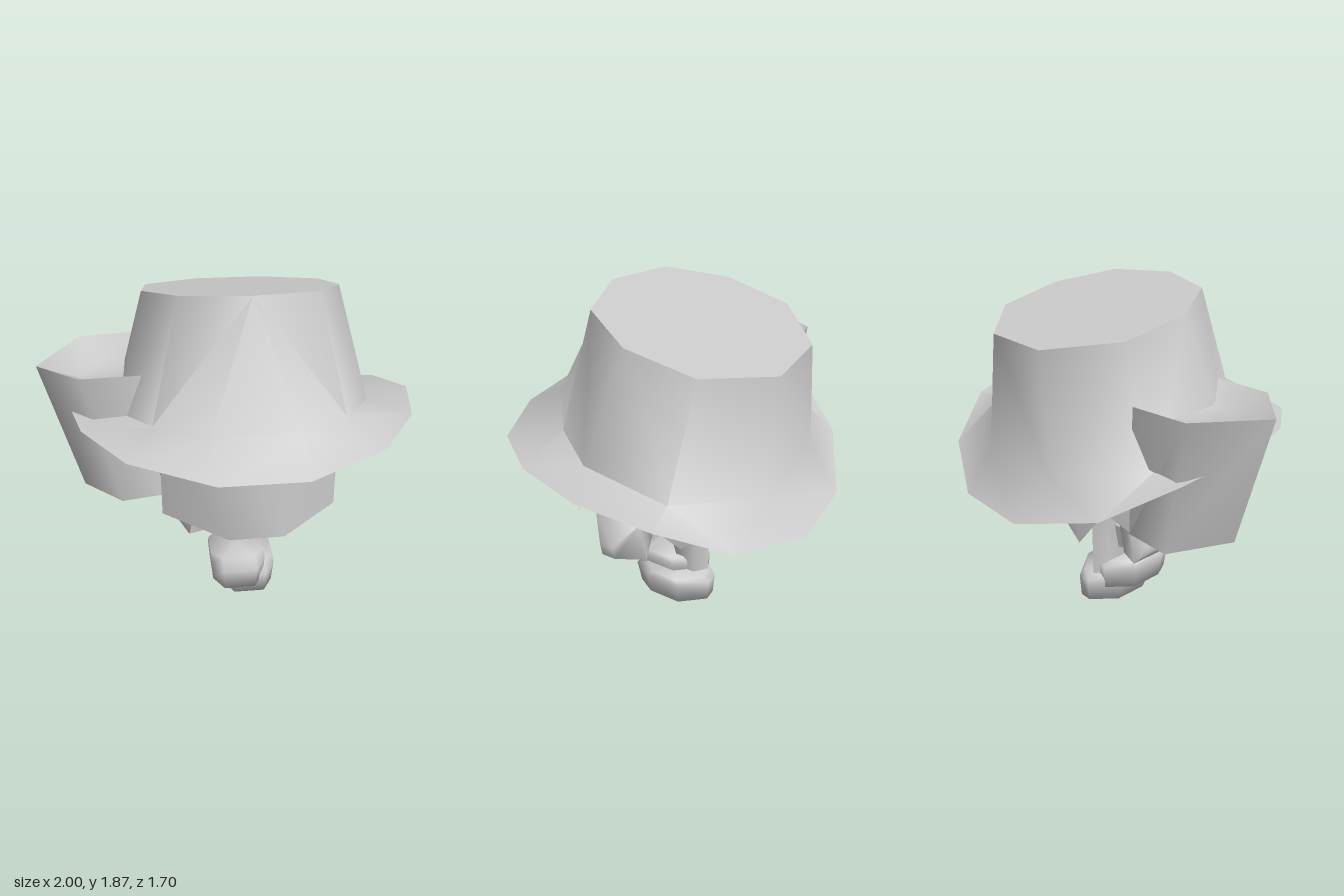
import * as THREE from 'three';
import { toCreasedNormals } from 'three/addons/utils/BufferGeometryUtils.js';

const CX = 0.07; // mirror plane of head and hat
const material = new THREE.MeshStandardMaterial({ color: 0xcccccc, side: THREE.DoubleSide });

// Skin over a list of rings (lowest first, points running front -> +x -> back -> -x)
function loft(name, rings, { bottom = false, top = false, closed = true, crease = 1.1 } = {}) {
  const n = rings[0].length, pos = [];
  const tri = (...pts) => pts.forEach((p) => pos.push(...p));
  for (let r = 0; r < rings.length - 1; r++) {
    for (let i = 0; i < (closed ? n : n - 1); i++) {
      const j = (i + 1) % n, lo = rings[r], hi = rings[r + 1];
      // diagonals lean opposite ways on the two halves, keeping them symmetric
      if (i < n / 2) {
        tri(lo[i], lo[j], hi[i]);
        tri(lo[j], hi[j], hi[i]);
      } else {
        tri(lo[i], lo[j], hi[j]);
        tri(lo[i], hi[j], hi[i]);
      }
    }
  }
  const cap = (ring, up) => {
    const c = [0, 1, 2].map((k) => ring.reduce((s, p) => s + p[k], 0) / n);
    ring.forEach((p, i) => {
      const q = ring[(i + 1) % n];
      if (up) tri(c, p, q); else tri(c, q, p);
    });
  };
  if (bottom) cap(rings[0], false);
  if (top) cap(rings[rings.length - 1], true);
  const geo = new THREE.BufferGeometry();
  geo.setAttribute('position', new THREE.Float32BufferAttribute(pos, 3));
  const mesh = new THREE.Mesh(toCreasedNormals(geo, crease), material);
  mesh.name = name;
  return mesh;
}

// Elliptical ring with n corners, the first one turned by 'turn'
function ring(n, cx, y, cz, rx, rz, turn = 0) {
  return Array.from({ length: n }, (_, i) => {
    const a = turn + (i / n) * Math.PI * 2;
    return [cx + rx * Math.sin(a), y, cz + rz * Math.cos(a)];
  });
}

// Half outline on the +x side, mirrored into a full ring about CX
function mirrorRing(half) {
  return [...half, ...[...half].reverse().map(([x, y, z]) => [2 * CX - x, y, z])];
}

// Bucket-shaped hat: drooping brim, tapered crown, slanted top
function buildHat() {
  const brim = [[0.285, 1.14, 0.85], [0.69, 1.18, 0.66], [0.91, 1.21, 0.365], [1, 1.2, 0],
    [0.92, 1.12, -0.36], [0.695, 0.955, -0.66], [0.285, 0.845, -0.85]];
  const base = [[0.29, 1.27, 0.615], [0.56, 1.23, 0.395], [0.735, 1.2, 0.14], [0.735, 1.2, 0.14],
    [0.74, 1.14, -0.33], [0.335, 1.05, -0.66], [0.335, 1.05, -0.66]];
  const topXZ = [[CX, 0.385], [0.41, 0.28], [0.58, -0.015], [0.58, -0.015],
    [0.555, -0.375], [0.26, -0.64], [0.26, -0.64]];
  const top = topXZ.map(([x, z]) => [x, 1.795 + 0.197 * z, z]);
  return loft('hat', [brim, base, top].map(mirrorRing), { top: true, crease: 1.15 });
}

function buildHead() {
  const head = new THREE.Group();
  head.name = 'headGroup';
  // skull: y, half width, half depth, centre z
  const levels = [[0.51, 0.08, 0.1, 0.1], [0.57, 0.23, 0.28, 0.14], [0.7, 0.4, 0.42, 0.08],
    [0.85, 0.5, 0.5, 0.03], [1.05, 0.53, 0.53, 0], [1.22, 0.5, 0.5, 0]];
  head.add(loft('head', levels.map(([y, rx, rz, z]) => ring(12, CX, y, z, rx, rz, Math.PI / 12)),
    { bottom: true, top: true }));

  // bent face plate
  const plate = (y) => [[-0.39, 0.365], [-0.07, 0.645], [0.21, 0.645], [0.53, 0.365]].map(([x, z]) => [x, y, z]);
  head.add(loft('facePlate', [plate(0.7), plate(1.18)], { closed: false, crease: 0.75 }));

  // hair shell with a jagged hem: angle from the front in degrees, hem height, hem radius
  const hem = [[50, 0.84, 0.57], [72, 0.97, 0.57], [92, 0.71, 0.56], [106, 0.83, 0.55],
    [121, 0.61, 0.43], [138, 0.8, 0.54], [155, 0.58, 0.5], [170, 0.79, 0.52]];
  const hairRow = (f) => {
    const half = hem.map(([deg, y, r]) => {
      const a = THREE.MathUtils.degToRad(deg), [ry, rr] = f(y, r);
      return [CX + rr * Math.sin(a), ry, rr * Math.cos(a)];
    });
    return mirrorRing(half).slice(0, -1); // the -x temple is covered by the container
  };
  head.add(loft('hair', [hairRow((y, r) => [y, r]), hairRow(() => [1.0, 0.57]), hairRow(() => [1.14, 0.57])],
    { closed: false }));

  // short fringe points under the brim
  [[-0.27, 1.05, 0.09, 0.58], [-0.08, 1.07, 0.06, 0.67], [0.34, 1.03, 0.09, 0.58]].forEach(([x, y, w, z]) => {
    head.add(loft('fringe', [
      [[x, y, z], [x, y, z]],
      [[x - w, 1.18, z], [x + w * 0.3, 1.18, z]],
    ], { closed: false }));
  });
  return head;
}

// Tall tapered container at the -x side, with a shallow hollow top
function buildContainer() {
  const top = [[-0.77, 1.43, 0.235], [-0.46, 1.43, 0.22], [-0.32, 1.43, -0.08],
    [-0.5, 1.44, -0.4], [-0.8, 1.44, -0.36], [-1, 1.42, 0.01]];
  const bottom = [[-0.6, 0.7, 0.22], [-0.38, 0.7, 0.18], [-0.27, 0.7, -0.07],
    [-0.4, 0.7, -0.33], [-0.66, 0.7, -0.33], [-0.81, 0.7, 0.01]];
  const hollow = top.map(([x, , z]) => [-0.6 + (x + 0.6) * 0.5, 1.34, z * 0.5 - 0.03]);
  return loft('sideContainer', [bottom, top, hollow], { bottom: true, top: true, crease: 1.2 });
}

// Blocky hand tapering to the fingertips, with a short flared cuff
function buildHand(name, x, y, z, tilt, s, cuffZ) {
  const hand = new THREE.Group();
  hand.name = name;
  const block = (h, r) => ring(4, 0, h, 0, r, r, Math.PI / 4);
  hand.add(loft('palm', [block(-0.12, 0.05), block(0, 0.178), block(0.12, 0.13)],
    { bottom: true, top: true, crease: 1.3 }));
  hand.add(loft('cuff', [ring(5, 0, 0.08, cuffZ * 0.4, 0.1, 0.1), ring(5, 0, 0.18, cuffZ, 0.12, 0.1)], { top: true }));
  hand.position.set(x, y, z);
  hand.rotation.z = tilt;
  hand.scale.setScalar(s);
  return hand;
}

// Chunky shoe with a narrow heel, toe pointing to +z
function buildShoe(name, x, y, z) {
  const outline = (w, h, front, back) => [[w * 0.6, front], [w, front * 0.5], [w, back * 0.4],
    [w * 0.25, back], [-w * 0.25, back], [-w, back * 0.4], [-w, front * 0.5], [-w * 0.6, front]]
    .map(([px, pz]) => [px, h, pz]);
  const shoe = loft(name, [
    outline(0.146, 0, 0.2, -0.23), outline(0.158, 0.135, 0.225, -0.24), outline(0.155, 0.172, 0.15, -0.2),
  ], { bottom: true, top: true, crease: 1.6 });
  shoe.position.set(x, y, z);
  return shoe;
}

export function createModel() {
  const model = new THREE.Group();
  model.name = 'hattedFigure';
  model.add(buildHat(), buildHead(), buildContainer());

  // slim body and the flat collar in front of it
  model.add(loft('body', [
    ring(6, 0.07, 0.15, -0.075, 0.08, 0.12), ring(6, 0.07, 0.45, -0.075, 0.08, 0.12),
    ring(6, 0.07, 0.63, -0.075, 0.1, 0.12),
  ], { bottom: true, top: true }));
  const collar = new THREE.Mesh(new THREE.PlaneGeometry(0.465, 0.17), material);
  collar.name = 'collar';
  collar.position.set(0.07, 0.525, 0.045);
  model.add(collar);

  model.add(buildHand('leftHand', 0.78, 0.905, -0.09, 1.4, 1, 0.15));
  model.add(buildHand('rightHand', -0.21, 0.48, -0.03, -1.8, 0.95, 0));
  model.add(buildShoe('rightShoe', 0.038, 0.09, 0.07));
  model.add(buildShoe('leftShoe', 0.105, 0, 0));
  return model;
}
